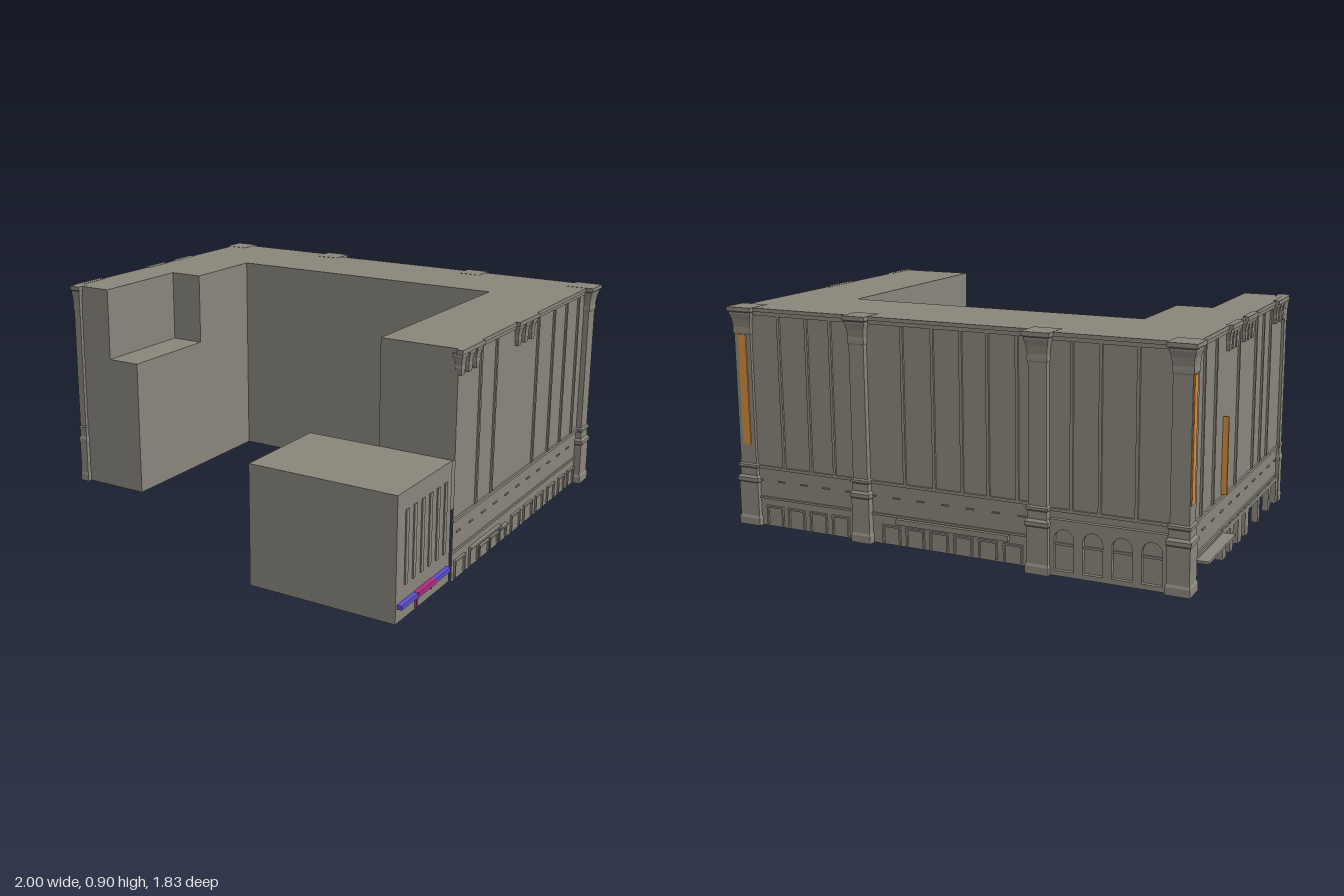
import * as THREE from 'three';

const mat = (name, color) => {
  const m = new THREE.MeshStandardMaterial({ color, side: THREE.DoubleSide });
  m.name = name;
  return m;
};

export function createModel() {
  const stone = mat('stone', 0x89857b), orange = mat('orange', 0xd08a3c);
  const violet = mat('violet', 0x5e4cd0), magenta = mat('magenta', 0xb02c80);
  const model = new THREE.Group();
  model.name = 'building';

  const add = (name, geo, material = stone, parent = model) => {
    const mesh = new THREE.Mesh(geo, material);
    mesh.name = name;
    parent.add(mesh);
    return mesh;
  };
  const box = (name, x0, x1, y0, y1, z0, z1, material) => {
    const m = add(name, new THREE.BoxGeometry(x1 - x0, y1 - y0, z1 - z0), material);
    m.position.set((x0 + x1) / 2, (y0 + y1) / 2, (z0 + z1) / 2);
    return m;
  };

  // Hollow block without a floor: points are [x, z, bottom of the wall that starts here]
  const hollow = (name, pts, top) => {
    const g = new THREE.Group();
    g.name = name;
    model.add(g);
    const roof = new THREE.ShapeGeometry(new THREE.Shape(pts.map(([x, z]) => new THREE.Vector2(x, -z))));
    roof.rotateX(-Math.PI / 2);
    add(name + 'Roof', roof, stone, g).position.y = top;
    pts.forEach(([x, z, base], i) => {
      if (base >= top) return;
      const [x2, z2] = pts[(i + 1) % pts.length];
      const wall = add(name + 'Wall', new THREE.PlaneGeometry(Math.hypot(x2 - x, z2 - z), top - base), stone, g);
      wall.position.set((x + x2) / 2, (base + top) / 2, (z + z2) / 2);
      wall.rotation.y = Math.atan2(-(z2 - z), x2 - x);
    });
  };
  // Points run so that every wall faces outwards
  hollow('mainBlock', [
    [-0.94, 0.37, 0], [-0.77, 0.37, 0.59], [-0.77, -0.09, 0.59], [-0.62, -0.09, 0], [-0.62, -0.47, 0],
    [0.64, -0.47, 0], [0.64, 0.49, 0.48], [0.955, 0.49, 0], [0.955, -0.84, 0], [-0.34, -0.84, 0],
    [-0.34, -0.87, 0], [-0.94, -0.87, 0.11],
  ], 0.9);
  // The stretch of front wall under the step is part of the lower block
  hollow('lowerStep', [[-0.77, 0.37, 0], [-0.62, 0.37, 0], [-0.62, -0.09, 1], [-0.77, -0.09, 1]], 0.59);
  hollow('sideBlock', [[0.335, 0.91, 0], [0.945, 0.91, 0], [0.945, 0.49, 1], [0.64, 0.49, 0], [0.335, 0.49, 0]], 0.48);

  // Facades: u runs along the wall in world units, d is the distance outwards
  const facade = (axis, sign, plane) => (name, u0, u1, y0, y1, d0, d1, material) => {
    const a = plane + sign * d0, b = plane + sign * d1;
    const lo = Math.min(a, b), hi = Math.max(a, b);
    return axis === 'x' ? box(name, lo, hi, y0, y1, u0, u1, material) : box(name, u0, u1, y0, y1, lo, hi, material);
  };
  const right = facade('x', 1, 0.955), left = facade('x', -1, -0.94);
  const back = facade('z', -1, -0.84), backCorner = facade('z', -1, -0.87);
  const blockSide = facade('x', 1, 0.945);

  // Cornice, string courses, ribs and small blocks of each facade
  const dress = (f, u0, u1, ribs) => {
    f('cornice', u0, u1, 0.885, 0.9, 0, 0.012);
    f('cornice', u0, u1, 0.87, 0.885, 0, 0.006);
    f('stringCourse', u0, u1, 0.242, 0.254, 0, 0.008);
    f('baseCourse', u0, u1, 0.115, 0.124, 0, 0.006);
    ribs.forEach((u) => f('rib', u - 0.006, u + 0.006, 0.254, 0.87, 0, 0.008));
    const n = Math.round((u1 - u0) / 0.11);
    for (let i = 0; i < n; i++) {
      const u = u0 + ((i + 0.5) * (u1 - u0)) / n;
      f('wallBlock', u - 0.016, u + 0.016, 0.19, 0.195, 0, 0.005);
    }
  };
  dress(right, -0.84, 0.5, [0.3, 0.16, -0.25, -0.42, -0.56, -0.7]);
  dress(back, -0.34, 0.95, [0.77, 0.64, 0.53, 0.21, 0.08, -0.04, -0.15, -0.27]);
  dress(backCorner, -0.94, -0.34, [-0.5, -0.61, -0.75]);
  dress(left, -0.87, 0.37, [-0.74, -0.6, -0.31, -0.07, 0.04, 0.15]);

  // Framed shop windows at street level
  const shopWindow = (f, u0, u1, top) => {
    const t = 0.007;
    f('windowFrame', u0, u0 + t, 0.008, top, 0, 0.008);
    f('windowFrame', u1 - t, u1, 0.008, top, 0, 0.008);
    f('windowFrame', u0, u1, top, top + t, 0, 0.01);
  };
  [[0.38, 0.47], [0.26, 0.34], [-0.15, -0.06], [-0.28, -0.19], [-0.4, -0.32], [-0.53, -0.45], [-0.65, -0.58],
    [-0.76, -0.69]].forEach(([a, b]) => shopWindow(right, a, b, 0.073));
  [[0.16, 0.25], [0.07, 0.15], [-0.01, 0.06]].forEach(([a, b]) => shopWindow(right, a, b, 0.053));
  right('entranceCanopy', 0.06, 0.34, 0.078, 0.086, 0, 0.015);
  right('smallCanopy', -0.01, 0.06, 0.063, 0.07, 0, 0.015);
  for (let i = 0; i < 4; i++) shopWindow(back, 0.47 + i * 0.105, 0.55 + i * 0.105, 0.08);
  for (let i = 0; i < 6; i++) shopWindow(back, -0.29 + i * 0.105, -0.21 + i * 0.105, 0.073);
  back('backCanopy', -0.235, 0.25, 0.09, 0.112, 0, 0.016);

  // Open street level of the left side: piers, lintel and awning
  [[-0.87, -0.8], [-0.48, -0.43], [-0.38, -0.34], [-0.27, -0.22], [-0.17, -0.12], [0.02, 0.05], [0.19, 0.22],
    [0.31, 0.37]].forEach(([a, b]) => left('pier', a, b, 0, 0.12, -0.015, 0.012));
  left('lintel', -0.87, 0.37, 0.1, 0.116, -0.01, 0.012);
  left('awning', -0.81, -0.475, 0.1, 0.11, 0, 0.06);

  // Arcade plate with four round arches
  const plate = new THREE.Shape();
  plate.moveTo(-0.87, 0).lineTo(-0.42, 0).lineTo(-0.42, 0.215).lineTo(-0.87, 0.215).closePath();
  for (let i = 0; i < 4; i++) {
    const c = -0.815 + i * 0.113, r = 0.039;
    const hole = new THREE.Path();
    hole.moveTo(c - r, 0.02).lineTo(c + r, 0.02).lineTo(c + r, 0.14);
    hole.absarc(c, 0.14, r, 0, Math.PI, false);
    hole.closePath();
    plate.holes.push(hole);
  }
  add('arcade', new THREE.ExtrudeGeometry(plate, { depth: 0.016, bevelEnabled: false, curveSegments: 10 }))
    .position.z = -0.886;

  // Square pilasters with a stepped base and a flared capital
  const profile = [[0.86, 0], [0.86, 0.03], [0.78, 0.04], [0.78, 0.18], [0.86, 0.185], [0.86, 0.2], [0.7, 0.21],
    [0.7, 0.24], [0.8, 0.245], [0.8, 0.255], [0.66, 0.26], [0.66, 0.79], [0.72, 0.795], [0.72, 0.805],
    [0.7, 0.82], [0.76, 0.85], [0.88, 0.873], [0.88, 0.88], [1, 0.885], [1, 0.901], [0, 0.901]];
  const squareLathe = (name, pts, x, z, hx, hz) => {
    let g = new THREE.LatheGeometry(pts.map(([r, y]) => new THREE.Vector2(r * Math.SQRT2, y)), 4);
    g.rotateY(Math.PI / 4);
    g.scale(hx, 1, hz);
    g = g.toNonIndexed();
    g.computeVertexNormals();
    add(name, g).position.set(x, 0, z);
  };
  [[0.94, -0.815, 0.058, 0.056], [0.4, -0.83, 0.05, 0.05], [-0.375, -0.86, 0.055, 0.055],
    [-0.915, -0.857, 0.055, 0.053], [-0.935, 0.365, 0.025, 0.03]]
    .forEach((p) => squareLathe('pilaster', profile, ...p));

  // Groups of three cornice brackets, each under a projecting slab
  const bracket = [[0, 0.8], [0.55, 0.802], [0.65, 0.83], [0.6, 0.84], [0.8, 0.865], [1, 0.875], [1, 0.886]];
  const brackets = (f, x, u0, u1) => {
    f('bracketSlab', u0, u1, 0.884, 0.901, 0, 0.026);
    for (let i = 0; i < 3; i++) {
      squareLathe('bracket', bracket, x, u0 + ((i + 0.5) * (u1 - u0)) / 3, 0.02, 0.025);
    }
  };
  brackets(right, 0.957, 0.32, 0.51);
  brackets(right, 0.957, -0.2, 0);
  brackets(left, -0.94, -0.27, -0.13);
  brackets(left, -0.94, -0.48, -0.34);
  brackets(left, -0.94, 0.19, 0.36);

  // Orange banners
  box('bladeBanner', -0.962, -0.922, 0.26, 0.56, -0.485, -0.475, orange);
  facade('z', -1, -0.851)('backBanner', 0.922, 0.958, 0.34, 0.79, 0, 0.005, orange);
  facade('x', -1, -0.951)('cornerBanner', -0.885, -0.85, 0.33, 0.79, 0, 0.005, orange);

  // Slatted wall and coloured entrance sign on the side block
  for (let i = 0; i < 6; i++) {
    const u = 0.54 + i * 0.06;
    blockSide('slat', u - 0.01, u + 0.01, 0.13, 0.41, 0, 0.005);
  }
  blockSide('signEnd', 0.515, 0.635, 0.056, 0.072, 0, 0.02, violet);
  blockSide('signEnd', 0.775, 0.9, 0.056, 0.072, 0, 0.02, violet);
  blockSide('signCentre', 0.635, 0.775, 0.054, 0.073, 0, 0.021, magenta);
  blockSide('signPost', 0.752, 0.765, 0.005, 0.054, 0, 0.008, magenta);
  blockSide('signPost', 0.642, 0.652, 0.035, 0.054, 0, 0.008, magenta);

  return model;
}
